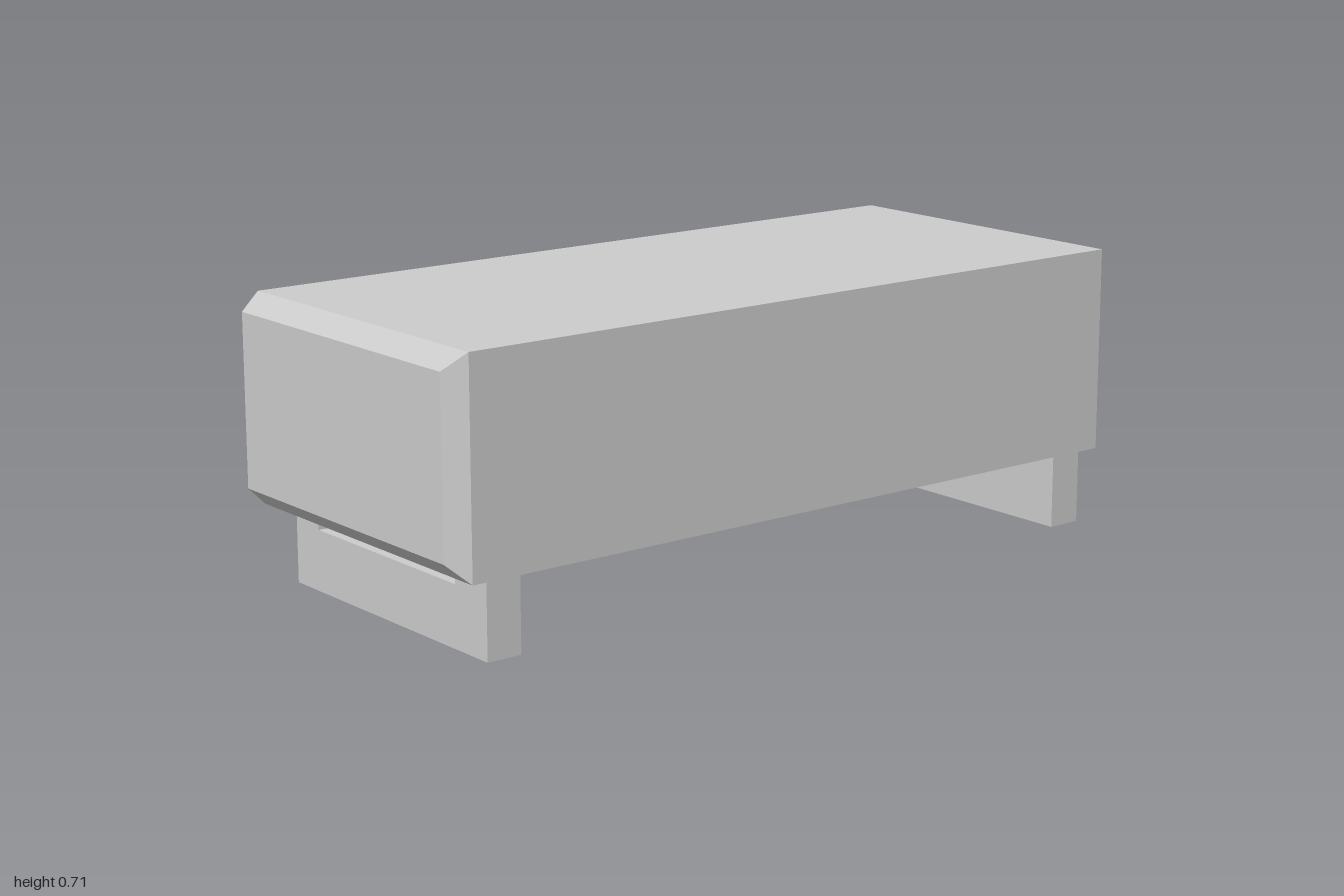
import * as THREE from 'three';
import { ConvexGeometry } from 'three/addons/geometries/ConvexGeometry.js';

const material = new THREE.MeshStandardMaterial({ color: 0xcccccc, flatShading: true });

// Box with bevelled edges, except for the sharp top and bottom edges of its front
function bodyGeometry() {
  const x = 1, z = 0.449, bottom = 0.198, top = 0.708, bevel = 0.044;
  const points = [];
  for (const side of [-1, 1]) {
    for (const [y, inward] of [[bottom, bevel], [top, -bevel]]) {
      const add = (px, py, pz) => points.push(new THREE.Vector3(side * px, py, pz));
      add(x, y + inward, z - bevel);
      add(x, y + inward, -z + bevel);
      add(x - bevel, y, z);
      add(x - bevel, y, -z + bevel);
      add(x - bevel, y + inward, -z);
    }
  }
  return new ConvexGeometry(points);
}

// U-shaped runner: drawn as (z, y), extruded along x
function legGeometry(width) {
  const shape = new THREE.Shape([
    [-0.374, 0], [0.405, 0], [0.405, 0.198], [0.284, 0.198],
    [0.284, 0.15], [-0.277, 0.15], [-0.277, 0.198], [-0.374, 0.198],
  ].map(([z, y]) => new THREE.Vector2(z, y)));
  return new THREE.ExtrudeGeometry(shape, { depth: width, bevelEnabled: false })
    .translate(0, 0, -width / 2)
    .rotateY(-Math.PI / 2);
}

export function createModel() {
  const group = new THREE.Group();
  group.name = 'bench';

  const body = new THREE.Mesh(bodyGeometry(), material);
  body.name = 'body';
  group.add(body);

  // Runners sit slightly off-centre towards +x
  const geometry = legGeometry(0.09);
  for (const [name, x] of [['rightLeg', -0.845], ['leftLeg', 0.895]]) {
    const leg = new THREE.Mesh(geometry, material);
    leg.name = name;
    leg.position.x = x;
    group.add(leg);
  }
  return group;
}
